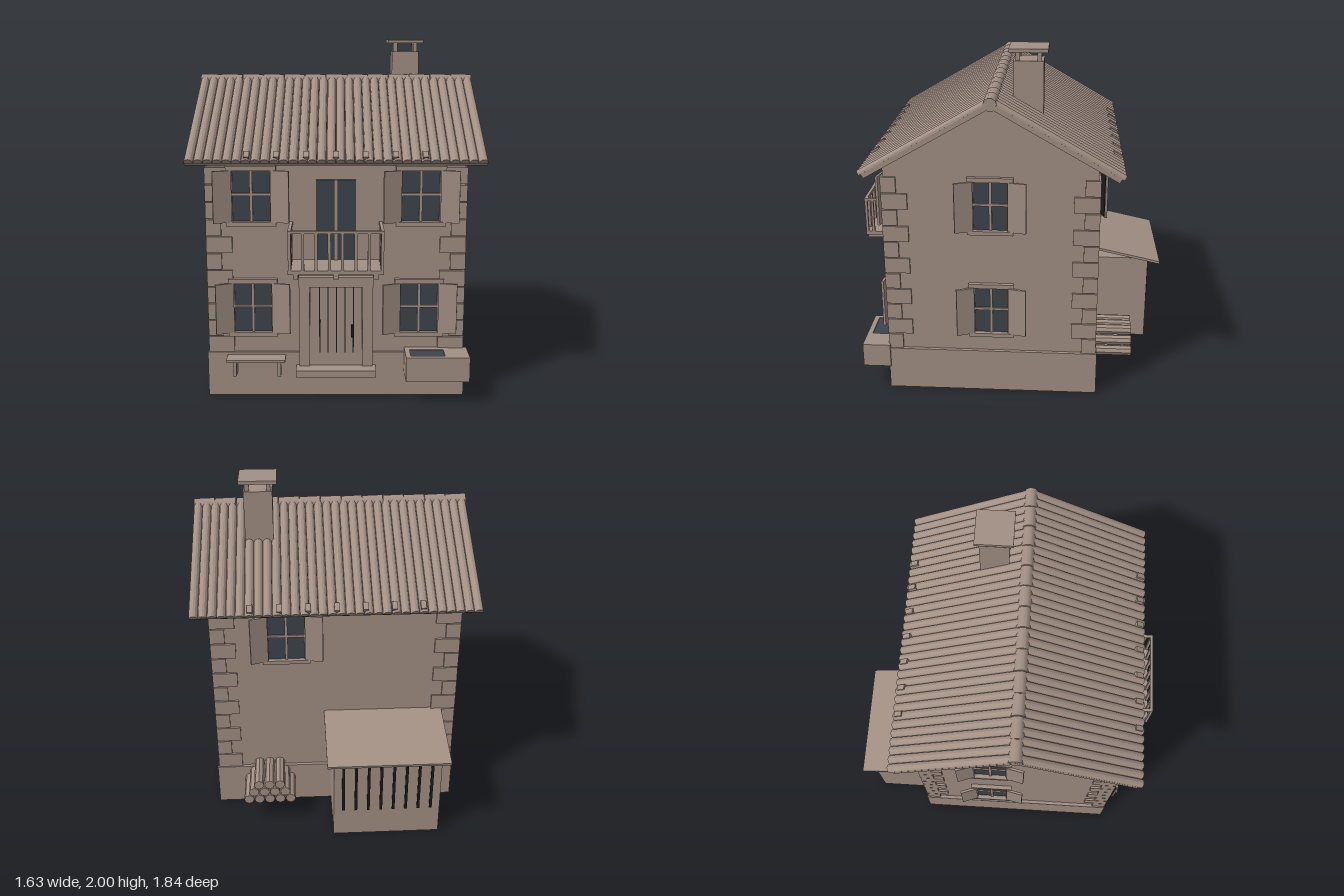
import * as THREE from 'three';

const stone = new THREE.MeshStandardMaterial({ color: 0xa39085 });
stone.name = 'stone';
const glass = new THREE.MeshStandardMaterial({ color: 0x3e444c });
glass.name = 'glass';
const dark = new THREE.MeshStandardMaterial({ color: 0x1c1b1b });
dark.name = 'darkGap';

function add(parent, name, geo, mat = stone) {
  const m = new THREE.Mesh(geo, mat);
  m.name = name;
  parent.add(m);
  return m;
}

// box given by its minimum and maximum on each axis
function box(parent, name, x0, x1, y0, y1, z0, z1, mat = stone) {
  const m = add(parent, name, new THREE.BoxGeometry(x1 - x0, y1 - y0, z1 - z0), mat);
  m.position.set((x0 + x1) / 2, (y0 + y1) / 2, (z0 + z1) / 2);
  return m;
}

function group(parent, name, x = 0, y = 0, z = 0, ry = 0) {
  const g = new THREE.Group();
  g.name = name;
  g.position.set(x, y, z);
  g.rotation.y = ry;
  parent.add(g);
  return g;
}

// faceted copy of a geometry
function facet(geo) {
  const g = geo.toNonIndexed();
  g.computeVertexNormals();
  return g;
}

// window with cross bars, lintel, sill and two half-open shutters; faces local +z
function addWindow(parent, x, y, z, ry, w = 0.22) {
  const g = group(parent, 'window', x, y, z, ry);
  const a = w / 2, h = 0.142;
  box(g, 'windowGlass', -a, a, -h, h, -0.004, 0.004, glass);
  box(g, 'windowBarVertical', -0.008, 0.008, -h, h, 0, 0.012);
  box(g, 'windowBarHorizontal', -a, a, 0.002, 0.016, 0, 0.012);
  box(g, 'lintel', -a - 0.028, a + 0.028, h, h + 0.026, -0.01, 0.022);
  box(g, 'sill', -a - 0.028, a + 0.028, -h - 0.023, -h, -0.01, 0.03);
  for (const s of [-1, 1]) {
    box(g, 'windowFrame', s * a - 0.007, s * a + 0.007, -h, h, 0, 0.014);
    // the left leaf stands a little wider open
    const leaf = group(g, 'shutter', s * a, 0, 0.012, s > 0 ? -0.22 : 0.34);
    box(leaf, 'shutterLeaf', s > 0 ? 0 : -0.104, s > 0 ? 0.104 : 0, -h - 0.003, h + 0.003, 0, 0.014);
    if (s < 0) box(leaf, 'shutterBack', -0.1, -0.02, -h + 0.004, h - 0.004, -0.003, 0.001, dark);
  }
}

// one roof slope: deck, tile columns and eave stones; local z runs downhill
function addSlope(parent, name, ry) {
  const g = group(parent, name, 0, 1.772, 0.09);
  g.rotation.set(Math.PI / 6, ry, 0, 'YXZ');
  box(g, 'roofDeck', -0.815, 0.815, -0.026, 0.002, 0, 0.805);
  const half = new THREE.CylinderGeometry(0.0255, 0.0255, 0.82, 6, 1, false, Math.PI / 2, Math.PI);
  half.rotateX(Math.PI / 2);
  const tile = facet(half);
  const n = 32, pitch = 1.63 / n;
  for (let i = 0; i < n; i++) {
    add(g, 'tileColumn', tile).position.set((i - (n - 1) / 2) * pitch, 0, 0.41);
  }
  for (let i = -3; i <= 3; i++) {
    box(g, 'eaveStone', i * 0.16 - 0.015, i * 0.16 + 0.015, 0.01, 0.033, 0.755, 0.805);
  }
}

export function createModel() {
  const house = new THREE.Group();
  house.name = 'house';

  // plinth and gabled walls
  box(house, 'plinth', -0.73, 0.73, 0, 0.26, -0.51, 0.71);
  const gable = new THREE.Shape([
    [-0.695, 0.2], [-0.695, 1.395], [-0.09, 1.75], [0.49, 1.41], [0.49, 0.2],
  ].map(([u, v]) => new THREE.Vector2(u, v)));
  const walls = new THREE.ExtrudeGeometry(gable, { depth: 1.42, bevelEnabled: false });
  walls.translate(0, 0, -0.71);
  walls.rotateY(Math.PI / 2);
  add(house, 'walls', walls);

  // corner stones, long sides alternating between the two faces
  for (const sx of [-1, 1]) {
    for (const sz of [-1, 1]) {
      for (let i = 0; i < 11; i++) {
        const lx = i % 2 ? 0.085 : 0.145, lz = i % 2 ? 0.145 : 0.085;
        const zc = sz > 0 ? 0.708 : -0.503, y = 0.257 + i * 0.0973;
        const m = add(house, 'cornerStone', new THREE.BoxGeometry(lx, 0.091, lz));
        m.position.set(sx * (0.722 - lx / 2), y + 0.0486, zc - sz * lz / 2);
      }
    }
  }

  // windows
  for (const y of [0.525, 1.165]) {
    for (const s of [-1, 1]) addWindow(house, s * 0.467, y, 0.697, 0);
    addWindow(house, 0.712, y, 0.102, Math.PI / 2, 0.2);
    addWindow(house, -0.712, y, -0.06, -Math.PI / 2, 0.2);
  }
  addWindow(house, 0.285, 1.165, -0.492, Math.PI);

  // front door
  const door = group(house, 'frontDoor');
  box(door, 'doorLeaf', -0.147, 0.147, 0.18, 0.647, 0.69, 0.713);
  for (const s of [-1, 1]) box(door, 'doorJamb', s * 0.178 - 0.029, s * 0.178 + 0.03, 0.18, 0.65, 0.69, 0.73);
  box(door, 'doorLintel', -0.208, 0.208, 0.65, 0.71, 0.69, 0.735);
  for (let i = 0; i < 5; i++) {
    const x = -0.092 + i * 0.0475;
    box(door, 'doorGroove', x - 0.003, x + 0.003, 0.26, 0.645, 0.71, 0.716, dark);
  }
  box(door, 'doorHandle', 0.086, 0.102, 0.355, 0.425, 0.71, 0.728, dark);
  box(house, 'doorStep', -0.225, 0.225, 0.145, 0.183, 0.69, 0.8);

  // balcony with its glazed door
  const balcony = group(house, 'balcony');
  for (const s of [-1, 1]) {
    box(balcony, 'balconyDoorGlass', s * 0.06 - 0.05, s * 0.06 + 0.05, 0.8, 1.255, 0.69, 0.699, glass);
  }
  box(balcony, 'balconyDoorBar', -0.01, 0.01, 0.8, 1.255, 0.69, 0.708);
  box(balcony, 'balconyFloor', -0.257, 0.257, 0.78, 0.802, 0.69, 0.92);
  for (const x of [-0.215, 0, 0.215]) box(balcony, 'balconyBeam', x - 0.013, x + 0.013, 0.75, 0.785, 0.69, 0.915);
  box(balcony, 'frontRail', -0.257, 0.257, 1.003, 1.02, 0.902, 0.92);
  for (let i = 0; i < 8; i++) {
    const x = -0.248 + i * 0.0709;
    box(balcony, 'baluster', x - 0.008, x + 0.008, 0.8, 1.005, 0.903, 0.919);
  }
  for (const s of [-1, 1]) {
    box(balcony, 'sideRail', s * 0.248 - 0.009, s * 0.248 + 0.009, 1.003, 1.02, 0.69, 0.92);
    for (const z of [0.738, 0.806, 0.873]) {
      box(balcony, 'baluster', s * 0.248 - 0.008, s * 0.248 + 0.008, 0.8, 1.005, z - 0.007, z + 0.007);
    }
  }

  // bench
  const bench = group(house, 'bench');
  box(bench, 'benchSeat', -0.615, -0.285, 0.23, 0.246, 0.715, 0.8);
  for (const x of [-0.57, -0.32]) box(bench, 'benchLeg', x - 0.01, x + 0.01, 0.145, 0.23, 0.725, 0.79);

  // water trough with an open basin on one side
  const trough = group(house, 'waterTrough');
  box(trough, 'troughBase', 0.388, 0.742, 0.145, 0.26, 0.7, 0.862);
  box(trough, 'troughFrontRim', 0.388, 0.742, 0.26, 0.285, 0.832, 0.862);
  box(trough, 'troughBackRim', 0.388, 0.742, 0.26, 0.285, 0.7, 0.735);
  box(trough, 'troughSideRim', 0.388, 0.416, 0.26, 0.285, 0.735, 0.832);
  box(trough, 'troughShelf', 0.607, 0.742, 0.26, 0.285, 0.735, 0.832);
  box(trough, 'water', 0.416, 0.607, 0.26, 0.278, 0.735, 0.832, glass);

  // roof slopes and ridge tiles
  addSlope(house, 'frontSlope', 0);
  addSlope(house, 'backSlope', Math.PI);
  const ridge = new THREE.CylinderGeometry(0.041, 0.037, 0.122, 10);
  ridge.rotateZ(Math.PI / 2);
  for (let i = 0; i < 13; i++) {
    add(house, 'ridgeTile', ridge).position.set((i - 6) * 0.1255, 1.76, 0.09);
  }

  // chimney with a raised cap
  const chimney = group(house, 'chimney', 0.425, 0, -0.096);
  box(chimney, 'chimneyShaft', -0.082, 0.082, 1.55, 1.93, -0.084, 0.084);
  box(chimney, 'chimneyCap', -0.108, 0.108, 1.98, 2, -0.108, 0.108);
  for (const x of [-0.06, 0.06]) {
    for (const z of [-0.06, 0.06]) box(chimney, 'capPost', x - 0.012, x + 0.012, 1.93, 1.98, z - 0.012, z + 0.012);
  }

  // lean-to shed with dark gaps in its back and a sloping roof
  const shed = group(house, 'shed');
  box(shed, 'shedBody', -0.6, 0.03, 0, 0.56, -0.85, -0.48);
  for (let i = 0; i < 8; i++) {
    const x = -0.545 + i * 0.074;
    box(shed, 'shedGap', x - 0.008, x + 0.008, 0.18, 0.54, -0.857, -0.849, dark);
  }
  const shedRoof = add(shed, 'shedRoof', new THREE.BoxGeometry(0.71, 0.016, 0.44));
  shedRoof.position.set(-0.285, 0.595, -0.705);
  shedRoof.rotation.x = -Math.atan2(0.095, 0.43);

  // stacked firewood
  const round = new THREE.CylinderGeometry(0.03, 0.03, 0.23, 8);
  round.rotateX(Math.PI / 2);
  const log = facet(round);
  for (let row = 0; row < 3; row++) {
    for (let i = 0; i < 5 - row; i++) {
      add(house, 'log', log).position.set(0.283 + row * 0.0312 + i * 0.0625, 0.176 + row * 0.053, -0.608);
    }
  }

  return house;
}
